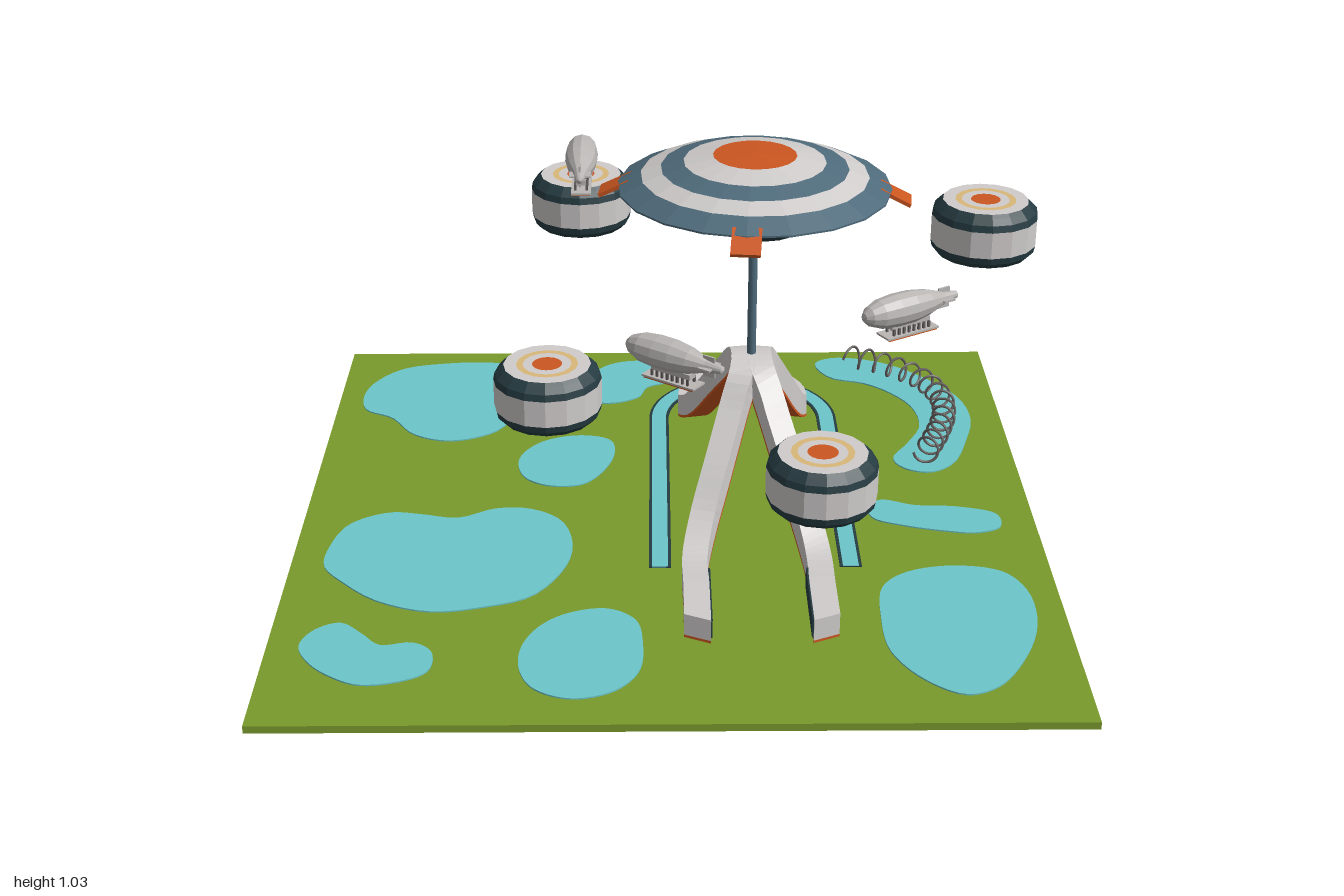
import * as THREE from 'three';

const mat = (name, color, side = THREE.FrontSide) => {
  const m = new THREE.MeshStandardMaterial({ color, side });
  m.name = name;
  return m;
};

export function createModel() {
  const model = new THREE.Group();
  const M = {
    grass: mat('grass green', 0x7a9a2c),
    water: mat('water teal', 0x6cc5c8),
    white: mat('off white', 0xcfcccb),
    blue: mat('slate blue', 0x4f6b7b),
    dark: mat('dark teal', 0x263c42),
    orange: mat('burnt orange', 0xcb5620),
    tan: mat('tan', 0xd9b87a),
    grey: mat('airship grey', 0xb9b6b4),
    steel: mat('steel grey', 0x686262),
  };
  const CX = 0.225, CZ = -0.105;

  const add = (parent, name, geo, material, x = 0, y = 0, z = 0) => {
    const m = new THREE.Mesh(geo, material);
    m.name = name;
    m.position.set(x, y, z);
    parent.add(m);
    return m;
  };
  const box = (w, h, d) => new THREE.BoxGeometry(w, h, d);
  const flat = (g) => {
    const f = g.toNonIndexed();
    f.computeVertexNormals();
    return f;
  };
  // Faceted solid of revolution, one mesh per coloured band: [material, [r, y], [r, y], ...]
  const bands = (parent, name, sides, list) => list.forEach(([material, ...pts]) =>
    add(parent, name, flat(new THREE.LatheGeometry(pts.map(([r, y]) => new THREE.Vector2(r, y)), sides)), material));
  // Thin horizontal plate from a shape drawn in (x, -z)
  const plate = (name, shape, y, h, material) => add(model, name,
    new THREE.ExtrudeGeometry(shape, { depth: h, bevelEnabled: false, curveSegments: 24 }).rotateX(-Math.PI / 2), material, 0, y, 0);

  // Ground
  add(model, 'ground', box(2, 0.02, 2), M.grass, 0, 0.01, 0);

  // Ponds, outlined in hundredths of a unit
  const pond = (...c) => {
    const pts = [];
    for (let i = 0; i < c.length; i += 2) pts.push(new THREE.Vector3(c[i] / 100, -c[i + 1] / 100, 0));
    const curve = new THREE.CatmullRomCurve3(pts, true);
    const outline = curve.getPoints(60).slice(0, -1).map((p) => new THREE.Vector2(p.x, p.y));
    plate('pond', new THREE.Shape(outline), 0.019, 0.005, M.water);
  };
  pond(-93, -68, -91, -78, -83, -88, -69, -92, -53, -92, -43, -86, -34, -69, -36, -60, -45, -55, -52, -45, -64, -40, -75, -44, -83, -55, -91, -60);
  pond(-27, -72, -23, -85, -16, -92, -5, -93, 2, -87, 1, -79, -6, -75, -9, -68, -18, -64, -26, -67);
  pond(-43, -29, -37, -39, -26, -43, -17, -40, -16, -29, -24, -14, -34, -13, -41, -18);
  pond(-91, 20, -87, 8, -77, 2, -68, 3, -58, 5, -48, 0, -39, 0, -30, 6, -26, 19, -28, 32, -36, 45, -48, 50, -61, 52, -75, 47, -85, 38, -91, 30);
  pond(-92, 67, -89, 60, -83, 57, -77, 62, -72, 67, -64, 66, -59, 70, -59, 78, -64, 82, -75, 84, -83, 80, -89, 74);
  pond(-37, 68, -33, 59, -26, 53, -16, 51, -9, 56, -7, 67, -8, 79, -14, 87, -24, 90, -33, 86, -37, 78);
  pond(53, 56, 55, 41, 62, 34, 75, 31, 87, 34, 92, 43, 92, 59, 86, 75, 78, 86, 70, 89, 61, 83, 54, 71);
  pond(55, 0, 59, -4, 68, -1, 80, 0, 90, 4, 90, 11, 83, 14, 75, 13, 64, 10, 56, 6);
  pond(47, -91, 53, -95, 67, -92, 80, -81, 89, -67, 91, -53, 88, -40, 82, -25, 75, -20, 68, -22, 65, -28, 70, -37, 75, -48, 74, -61, 68, -71, 61, -77, 51, -81);

  // U-shaped water channel with a dark rim
  const channel = (name, ro, ri, y, h, material) => {
    const s = new THREE.Shape();
    s.moveTo(CX + ro, -0.31);
    s.lineTo(CX + ro, 0.54);
    s.absarc(CX, 0.54, ro, 0, Math.PI, false);
    s.lineTo(CX - ro, -0.31);
    s.lineTo(CX - ri, -0.31);
    s.lineTo(CX - ri, 0.54);
    s.absarc(CX, 0.54, ri, Math.PI, 0, true);
    s.lineTo(CX + ri, -0.31);
    plate(name, s, y, h, material);
  };
  channel('channelRim', 0.28, 0.222, 0.019, 0.005, M.dark);
  channel('channelWater', 0.272, 0.23, 0.022, 0.0035, M.water);

  // Beam path: front leg, up over the hub, down the back, round the loop, then mirrored
  const profile = [[0.67, 0.06], [0.5, 0.06], [0.35, 0.06], [0.25, 0.115], [0.14, 0.225], [0.03, 0.335], [-0.05, 0.41],
    [-0.16, 0.41], [-0.24, 0.335], [-0.35, 0.225], [-0.46, 0.115], [-0.56, 0.06]];
  const side = new THREE.CatmullRomCurve3(profile.map(([z, y]) =>
    new THREE.Vector3(0.16 - (y - 0.06) / 0.35 * 0.135, y, z)), false, 'centripetal').getPoints(55);
  const loop = [];
  for (let i = 1; i < 8; i++) {
    const a = i / 16 * Math.PI;
    loop.push(new THREE.Vector3(0.16 * Math.cos(a), 0.06, -0.57 - 0.16 * Math.sin(a)));
  }
  const half = [...side, ...loop];
  const path = [...half, new THREE.Vector3(0, 0.06, -0.73),
    ...half.slice().reverse().map((p) => new THREE.Vector3(-p.x, p.y, p.z))];

  // Sweep a rectangular section along the path
  const sweep = (top, bottom, hw) => {
    const up = new THREE.Vector3(0, 1, 0), last = path.length - 1;
    const rings = path.map((p, i) => {
      const t = path[Math.min(i + 1, last)].clone().sub(path[Math.max(i - 1, 0)]).normalize();
      const l = t.clone().cross(up).normalize();
      const u = l.clone().cross(t);
      return [[-hw, top], [hw, top], [hw, bottom], [-hw, bottom]].map(([a, b]) => {
        const v = p.clone().addScaledVector(l, a).addScaledVector(u, b);
        if ((i === 0 || i === last) && a > 0) v.z -= 0.03; // slanted leg ends
        return v;
      });
    });
    const pos = [];
    const quad = (a, b, c, d) => [a, b, c, a, c, d].forEach((v) => pos.push(v.x, v.y, v.z));
    for (let i = 0; i < last; i++) for (let k = 0; k < 4; k++) {
      const n = (k + 1) % 4;
      quad(rings[i][k], rings[i][n], rings[i + 1][n], rings[i + 1][k]);
    }
    quad(...rings[0].slice().reverse());
    quad(...rings[last]);
    const g = new THREE.BufferGeometry();
    g.setAttribute('position', new THREE.Float32BufferAttribute(pos, 3));
    g.computeVertexNormals();
    return g;
  };
  add(model, 'beam', sweep(0.03, -0.03, 0.033), M.white, CX);
  add(model, 'beamUnderside', sweep(-0.03, -0.037, 0.033), M.orange, CX);
  for (const s of [-1, 1]) add(model, 'legInnerPanel', box(0.006, 0.054, 0.24), M.dark, CX + s * 0.126, 0.06, 0.54);
  add(model, 'hub', box(0.11, 0.06, 0.1), M.white, CX, 0.41, CZ);
  add(model, 'hubUnderside', box(0.11, 0.008, 0.1), M.orange, CX, 0.376, CZ);

  // Pole and striped canopy
  add(model, 'pole', new THREE.CylinderGeometry(0.012, 0.012, 0.5, 12), M.blue, CX, 0.69, CZ);
  const canopy = new THREE.Group();
  canopy.name = 'canopy';
  canopy.position.set(CX, 0, CZ);
  canopy.rotation.y = -0.1;
  model.add(canopy);
  bands(canopy, 'canopyBand', 20, [
    [M.blue, [0, 0.935], [0.36, 0.932], [0.36, 0.937], [0.3, 0.966]],
    [M.white, [0.3, 0.966], [0.247, 0.986]],
    [M.blue, [0.247, 0.986], [0.187, 1.003]],
    [M.white, [0.187, 1.003], [0.11, 1.02]],
    [M.orange, [0.11, 1.02], [0, 1.024]],
  ]);
  for (let i = 0; i < 4; i++) {
    const arm = new THREE.Group();
    arm.name = 'canopyTab';
    arm.rotation.y = i * Math.PI / 2;
    canopy.add(arm);
    add(arm, 'tab', box(0.075, 0.01, 0.09), M.orange, 0, 0.925, 0.368).rotation.x = 0.46;
  }

  // Floating striped lanterns
  [[0.28, 0.64, -0.72], [-0.245, 0.74, -0.51], [-0.315, 0.483, 0.19], [0.375, 0.382, 0.485], [0.835, 0.817, -0.105]].forEach((p) => {
    const lantern = new THREE.Group();
    lantern.name = 'lantern';
    lantern.position.set(...p);
    model.add(lantern);
    const h = 0.0775;
    bands(lantern, 'lanternBand', 16, [
      [M.orange, [0, -h], [0.1, -h]],
      [M.dark, [0.1, -h], [0.122, -0.069], [0.136, -0.054], [0.14, -0.036]],
      [M.white, [0.14, -0.036], [0.14, 0.036]],
      [M.dark, [0.14, 0.036], [0.136, 0.054], [0.122, 0.069], [0.113, h]],
      [M.white, [0.113, h], [0.08, h]],
      [M.tan, [0.08, h], [0.063, h]],
      [M.white, [0.063, h], [0.039, h]],
      [M.orange, [0.039, h], [0, h]],
    ]);
  });

  // Airships, nose toward local -z
  const hull = [[0, -0.15], [0.01, -0.145], [0.018, -0.1], [0.034, -0.05], [0.042, 0], [0.043, 0.05], [0.038, 0.1], [0.026, 0.13], [0.012, 0.145], [0, 0.149]];
  [[-0.23, 0.988, -0.15, 0], [0.012, 0.612, 0.255, 0.956], [0.613, 0.715, 0.18, Math.atan2(0.27, -0.16)]].forEach(([x, y, z, turn]) => {
    const ship = new THREE.Group();
    ship.name = 'airship';
    ship.position.set(x, y, z);
    ship.rotation.y = turn;
    model.add(ship);
    add(ship, 'hull', flat(new THREE.LatheGeometry(hull.map(([r, h]) => new THREE.Vector2(r, h)), 12)).rotateX(-Math.PI / 2), M.grey);
    add(ship, 'tailFinUpright', box(0.005, 0.056, 0.035), M.grey, 0, 0, 0.105);
    add(ship, 'tailFinLevel', box(0.056, 0.005, 0.035), M.grey, 0, 0, 0.105);
    add(ship, 'cabin', box(0.026, 0.014, 0.12), M.grey, 0, -0.042, -0.005);
    for (let i = 0; i < 8; i++) for (const s of [-1, 1]) add(ship, 'cabinPost', box(0.006, 0.018, 0.006), M.steel, s * 0.015, -0.055, -0.06 + i * 0.0157);
    add(ship, 'deck', box(0.052, 0.005, 0.16), M.grey, 0, -0.066, -0.005);
    add(ship, 'deckUnderside', box(0.048, 0.004, 0.15), M.orange, 0, -0.0705, -0.005);
  });

  // Coil spring wading along the curved pond
  const spine = new THREE.CatmullRomCurve3([[0.57, -0.89], [0.68, -0.83], [0.78, -0.73], [0.825, -0.61], [0.825, -0.505], [0.795, -0.39], [0.735, -0.24]]
    .map(([x, z]) => new THREE.Vector3(x, 0.06, z)));
  const turns = 15, coil = [];
  for (let i = 0; i <= turns * 12; i++) {
    const t = i / (turns * 12), a = t * turns * Math.PI * 2;
    const p = spine.getPointAt(t), d = spine.getTangentAt(t);
    coil.push(new THREE.Vector3(p.x - d.z * 0.033 * Math.cos(a), p.y + 0.033 * Math.sin(a), p.z + d.x * 0.033 * Math.cos(a)));
  }
  add(model, 'coilSpring', new THREE.TubeGeometry(new THREE.CatmullRomCurve3(coil), 360, 0.004, 6), M.steel);

  return model;
}
